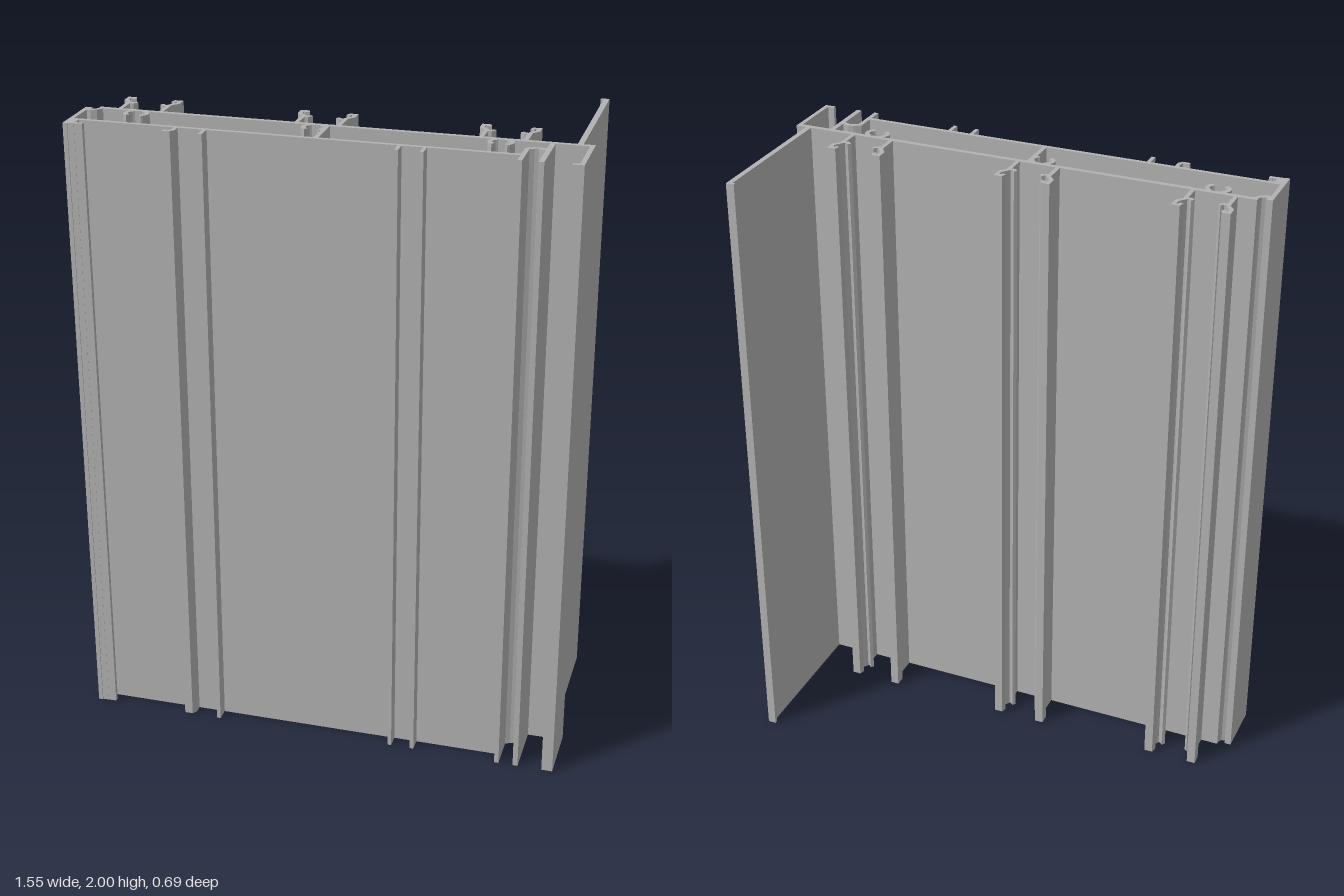
import * as THREE from 'three';

const HEIGHT = 2;

// Offsets a centre line (x, z points) into a closed mitred outline of the given thickness.
function strokeShape(path, thickness) {
  const pts = path.map(([x, z]) => new THREE.Vector2(x, -z));
  const normals = [];
  for (let i = 0; i < pts.length - 1; i++) {
    const d = pts[i + 1].clone().sub(pts[i]).normalize();
    normals.push(new THREE.Vector2(-d.y, d.x));
  }
  const left = [], right = [];
  pts.forEach((p, i) => {
    const a = normals[Math.max(i - 1, 0)];
    const b = normals[Math.min(i, normals.length - 1)];
    const m = a.clone().add(b).normalize();
    m.multiplyScalar(thickness / 2 / Math.max(m.dot(a), 0.4));
    left.push(p.clone().add(m));
    right.unshift(p.clone().sub(m));
  });
  return new THREE.Shape([...left, ...right]);
}

export function createModel() {
  const group = new THREE.Group();
  group.name = 'extrudedFrameProfile';
  const metal = new THREE.MeshStandardMaterial({ color: 0xb2b2b2 });
  metal.name = 'grey metal';

  // Runs one strip of the cross-section up the full height.
  function strip(name, thickness, path) {
    const geometry = new THREE.ExtrudeGeometry(strokeShape(path, thickness), {
      depth: HEIGHT, bevelEnabled: false,
    });
    geometry.rotateX(-Math.PI / 2);
    const mesh = new THREE.Mesh(geometry, metal);
    mesh.name = name;
    group.add(mesh);
  }

  // Hollow box: back and front plates with the walls between them
  strip('backPlate', 0.016, [[-0.73, 0.157], [0.773, 0.157]]);
  strip('frontPlate', 0.014, [[-0.765, 0.293], [0.592, 0.293]]);
  strip('leftWall', 0.014, [[-0.766, 0.163], [-0.766, 0.342]]);
  strip('middleWall', 0.014, [[-0.013, 0.16], [-0.013, 0.293]]);

  // Curved corner joining the back plate to the outer wall, and the foot below it
  strip('cornerHook', 0.014, [[-0.766, 0.183], [-0.748, 0.185], [-0.733, 0.179], [-0.725, 0.169], [-0.722, 0.156]]);
  strip('cornerHead', 0.012, [[-0.766, 0.169], [-0.752, 0.169]]);
  strip('footBlock', 0.022, [[-0.75, 0.296], [-0.75, 0.339]]);
  strip('footLip', 0.012, [[-0.75, 0.332], [-0.719, 0.332], [-0.719, 0.324]]);

  // Front ribs
  strip('hookedRib', 0.012, [[-0.435, 0.296], [-0.435, 0.325], [-0.442, 0.335], [-0.465, 0.335]]);
  for (const x of [-0.346, 0.238, 0.312]) {
    strip('frontRib', 0.012, [[x, 0.296], [x, 0.343]]);
  }

  // Sealing channel with a ridged bridge
  strip('channelInnerWall', 0.014, [[0.592, 0.228], [0.592, 0.347]]);
  strip('channelOuterWall', 0.016, [[0.653, 0.16], [0.653, 0.347]]);
  strip('channelBridge', 0.014, [[0.589, 0.234], [0.61, 0.222], [0.625, 0.219], [0.641, 0.226], [0.653, 0.23]]);

  // Outer wall with its return lip, and the long fin behind
  strip('rightWall', 0.014, [[0.766, 0.15], [0.766, 0.347]]);
  strip('rightWallLip', 0.012, [[0.773, 0.341], [0.744, 0.341], [0.744, 0.334]]);
  strip('fin', 0.017, [[0.73, -0.347], [0.73, 0.157]]);
  strip('finLip', 0.01, [[0.738, -0.342], [0.712, -0.342]]);

  // Three clip tracks behind the back plate, each with a round screw port in front of it
  for (const cx of [-0.601, -0.047, 0.508]) {
    for (const side of [-1, 1]) {
      const at = (points) => points.map(([x, z]) => [cx + side * x, z]);
      strip('clipArm', 0.013, at([
        [0.065, 0.157], [0.065, 0.077], [0.083, 0.054], [0.083, 0.028], [0.067, 0.028], [0.063, 0.042],
      ]));
      strip('clipTab', 0.012, at([[0.068, 0.085], [0.05, 0.084], [0.04, 0.074]]));

      const arc = [];
      for (let i = 0; i <= 9; i++) {
        const a = THREE.MathUtils.degToRad(-62 + i * 13);
        arc.push([0.033 * Math.cos(a), 0.187 + 0.027 * Math.sin(a)]);
      }
      strip('screwPort', 0.014, at(arc));
    }
  }
  return group;
}
